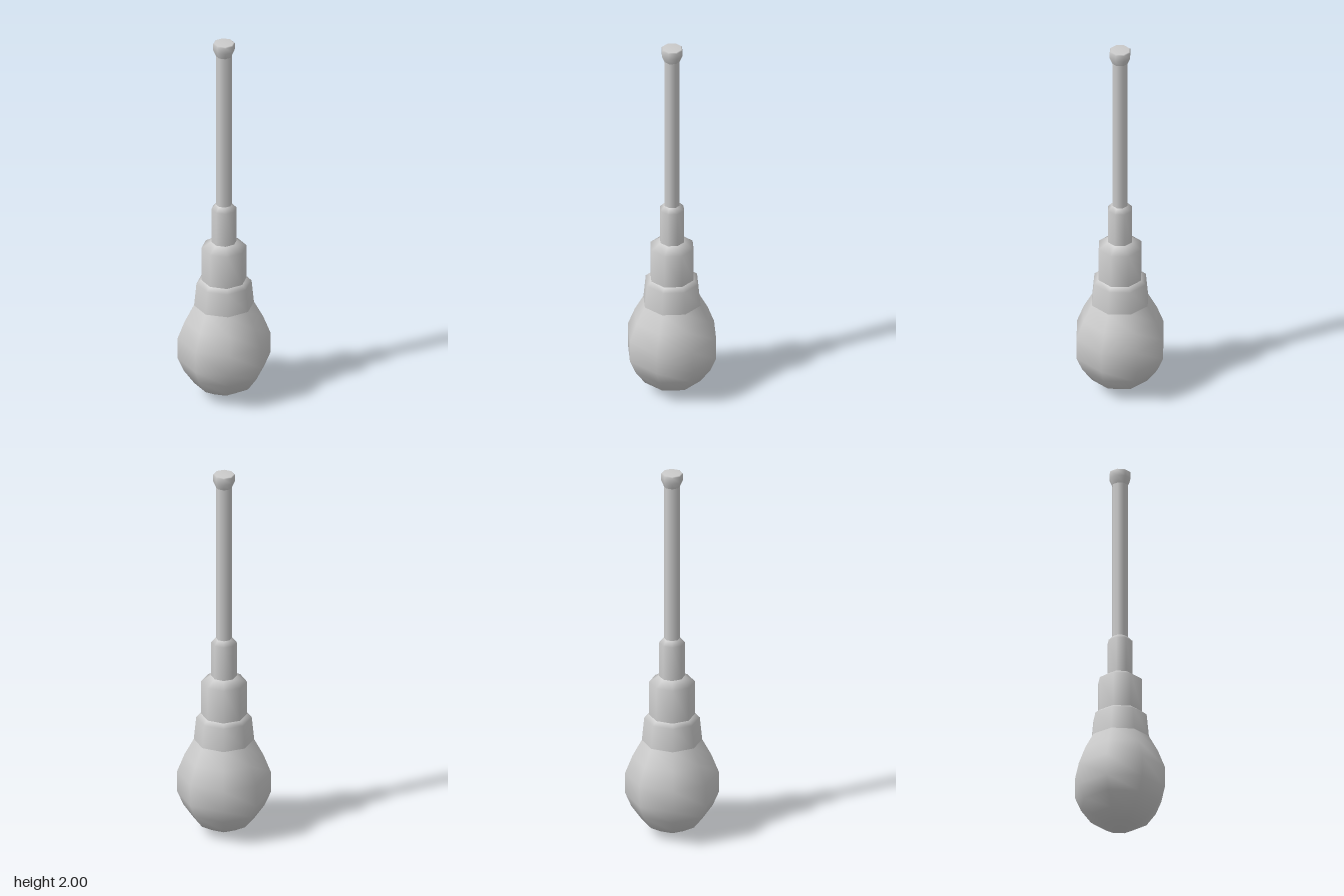
import * as THREE from 'three';

const SIDES = 8;

// Each part is an eight-sided turned section: [radius, height] from bottom to top
const PARTS = {
  bulb: [[0, 0], [0.08, 0.02], [0.153, 0.063], [0.206, 0.137], [0.237, 0.21],
    [0.237, 0.325], [0.2, 0.42], [0.153, 0.507]],
  neck: [[0.153, 0.507], [0.141, 0.63], [0.116, 0.65]],
  collar: [[0.116, 0.65], [0.116, 0.832], [0.065, 0.865]],
  socket: [[0.065, 0.865], [0.065, 1.052], [0.041, 1.077]],
  stem: [[0.041, 1.077], [0.041, 1.927]],
  tip: [[0.041, 1.927], [0.056, 1.962], [0.056, 1.995], [0.05, 2], [0, 2]],
};

export function createModel() {
  const model = new THREE.Group();
  model.name = 'longStemmedBulb';
  const material = new THREE.MeshStandardMaterial({ color: 0xcccccc });

  for (const [name, profile] of Object.entries(PARTS)) {
    const points = profile.map(([r, y]) => new THREE.Vector2(r, y));
    const mesh = new THREE.Mesh(new THREE.LatheGeometry(points, SIDES), material);
    mesh.name = name;
    model.add(mesh);
  }
  return model;
}
